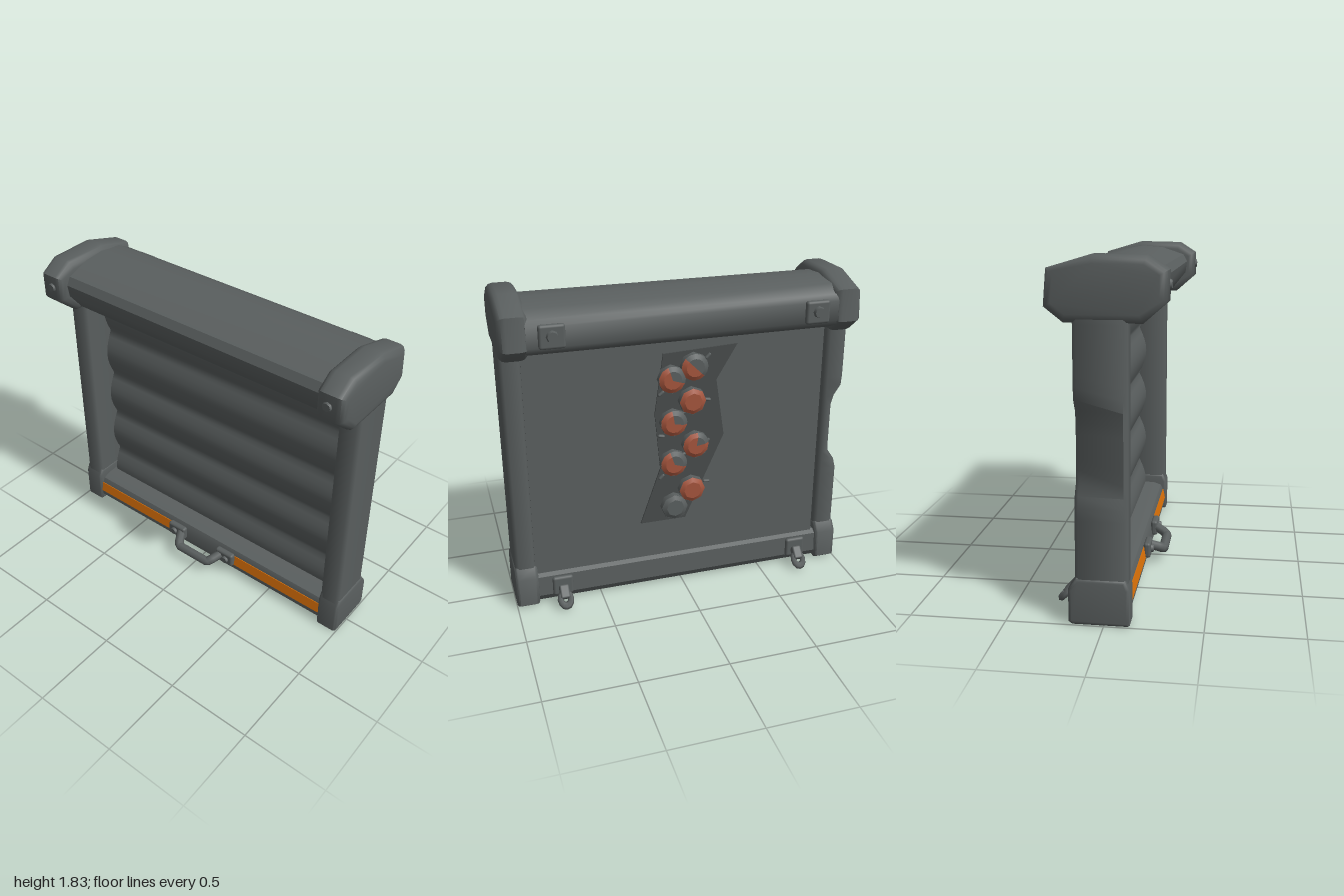
import * as THREE from 'three';
import { toCreasedNormals } from 'three/addons/utils/BufferGeometryUtils.js';
import { RoundedBoxGeometry } from 'three/addons/geometries/RoundedBoxGeometry.js';

const mat = (name, color, side = THREE.FrontSide) => {
  const m = new THREE.MeshStandardMaterial({ color, side });
  m.name = name;
  return m;
};

export function createModel() {
  const root = new THREE.Group();
  const grey = mat('grey metal', 0x5a5f5f);
  const dark = mat('dark plate', 0x484c4c, THREE.DoubleSide);
  const orange = mat('orange paint', 0xdd7208, THREE.DoubleSide);
  const rust = mat('rust red', 0xa5553d, THREE.DoubleSide);

  const add = (name, geo, m, x = 0, y = 0, z = 0, parent = root) => {
    const mesh = new THREE.Mesh(geo, m);
    mesh.name = name;
    mesh.position.set(x, y, z);
    parent.add(mesh);
    return mesh;
  };
  const box = (w, h, d, r = 0.015) => new RoundedBoxGeometry(w, h, d, 2, r);

  // Prism along x from a [z, y] outline, with optional rounded ends
  const prism = (pts, x0, x1, bevel = 0, crease = 0.6) => {
    const shape = new THREE.Shape(pts.map(([z, y]) => new THREE.Vector2(-z, y)));
    const geo = new THREE.ExtrudeGeometry(shape, {
      depth: x1 - x0 - 2 * bevel, bevelEnabled: bevel > 0,
      bevelThickness: bevel, bevelSize: bevel, bevelOffset: -bevel, bevelSegments: 3,
    });
    geo.rotateY(Math.PI / 2).translate(x0 + bevel, 0, 0);
    return toCreasedNormals(geo, crease);
  };

  // Upright post with chamfered corners; dent pushes in the rear outer edge halfway up
  const post = (dent) => {
    const w = 0.061, d = 0.1325, c = 0.02;
    const shape = new THREE.Shape([[w - c, -d], [w, c - d], [w, d - c], [w - c, d],
      [c - w, d], [-w, d - c], [-w, c - d], [c - w, -d]].map((p) => new THREE.Vector2(...p)));
    const geo = new THREE.ExtrudeGeometry(shape, { depth: 1.44, steps: 24, bevelEnabled: false });
    geo.rotateX(-Math.PI / 2).translate(0, 0.13, 0);
    const p = geo.attributes.position;
    for (let i = 0; i < p.count; i++) {
      if (p.getX(i) < -0.03 && p.getZ(i) < -0.1) {
        const near = 1 - THREE.MathUtils.smoothstep(Math.abs(p.getY(i) - 0.9), 0.15, 0.27);
        p.setX(i, p.getX(i) + dent * near);
      }
    }
    return toCreasedNormals(geo, 0.9);
  };

  // Posts, feet and the eight-sided end caps of the housing
  const capOutline = [[0.31, 1.62], [0.31, 1.765], [0.21, 1.83], [-0.05, 1.835],
    [-0.27, 1.77], [-0.285, 1.59], [-0.19, 1.515], [0.19, 1.515]];
  const footOutline = [[0.13, 0.01], [0.13, 0.2], [0.11, 0.25], [-0.14, 0.25],
    [-0.18, 0.19], [-0.18, 0.02], [-0.16, 0.005], [0.12, 0.005]];
  for (const s of [-1, 1]) {
    const side = s > 0 ? 'left' : 'right';
    const span = (a, b) => (s > 0 ? [a, b] : [-b, -a]);
    add(side + 'Post', post(s < 0 ? 0.06 : 0), grey, s * 0.932, 0, -0.012);
    add(side + 'Foot', prism(footOutline, ...span(0.868, 1), 0.018, 0.9), grey);
    add(side + 'HousingCap', prism(capOutline, ...span(0.84, 1), 0.042, 0.9), grey);
    const bolt = add(side + 'CapBolt', new THREE.CylinderGeometry(0.022, 0.036, 0.025, 8), grey, s * 0.91, 1.695, 0.308);
    bolt.rotation.x = Math.PI / 2;
  }

  // Roller housing between the caps
  add('rollerHousing', prism([[0.17, 1.54], [0.25, 1.64], [0.26, 1.71], [0.235, 1.755],
    [0.1, 1.8], [-0.03, 1.81], [-0.18, 1.785], [-0.255, 1.745], [-0.275, 1.71],
    [-0.275, 1.6], [-0.255, 1.57], [-0.19, 1.54]], -0.86, 0.86), grey);

  // Ribbed shutter curtain: five convex slats with soft joints and a flat back
  const curtain = [[-0.137, 0.15]];
  const joints = [0.06, 0.36, 0.66, 0.96, 1.27, 1.58];
  for (let i = 0; i < 5; i++) {
    for (let k = 0; k < 8; k++) {
      const t = k / 8;
      const y = joints[i] + (joints[i + 1] - joints[i]) * t;
      if (y > 0.15) curtain.push([-0.055 + 0.045 * Math.sin(Math.PI * t), y]);
    }
  }
  curtain.push([-0.055, 1.58], [-0.137, 1.58]);
  add('shutterCurtain', prism(curtain, -0.85, 0.88, 0, 1.2), grey);

  // Bottom rail with its orange strips on the slightly tilted front
  add('bottomRail', prism([[0.09, 0.02], [0.12, 0.05], [0.12, 0.08], [0.108, 0.15], [0.095, 0.175],
    [0.05, 0.19], [-0.13, 0.2], [-0.16, 0.18], [-0.165, 0.06], [-0.14, 0.02]], -0.88, 0.88), grey);
  for (const s of [-1, 1]) {
    const strip = add('orangeStrip', new THREE.BoxGeometry(0.64, 0.064, 0.006), orange, s * 0.55, 0.112, 0.116);
    strip.rotation.x = -0.17;
  }

  // Lifting handle, hanging outwards and down
  const handle = new THREE.Group();
  handle.name = 'handle';
  root.add(handle);
  for (const s of [-1, 1]) {
    add('handlePlate', box(0.13, 0.09, 0.04), grey, s * 0.19, 0.122, 0.13, handle);
    const b = add('handleBolt', new THREE.CylinderGeometry(0.02, 0.026, 0.02, 8), grey, s * 0.205, 0.122, 0.155, handle);
    b.rotation.x = Math.PI / 2;
  }
  const grip = new THREE.CurvePath();
  const gripPts = [[-0.16, 0.13, 0.13], [-0.13, 0.105, 0.19], [-0.11, 0.09, 0.212],
    [0.11, 0.09, 0.212], [0.13, 0.105, 0.19], [0.16, 0.13, 0.13]].map((p) => new THREE.Vector3(...p));
  for (let i = 0; i < 5; i++) grip.add(new THREE.LineCurve3(gripPts[i], gripPts[i + 1]));
  add('handleGrip', new THREE.TubeGeometry(grip, 36, 0.028, 8), grey, 0, 0, 0, handle);

  // Rear fittings: bolted plates above, plates with hanging links below
  for (const s of [-1, 1]) {
    const x = s * 0.73;
    add('upperBackPlate', box(0.14, 0.13, 0.035), grey, x, 1.66, -0.28);
    const b = add('upperBackBolt', new THREE.CylinderGeometry(0.035, 0.028, 0.03, 8), grey, x, 1.665, -0.303);
    b.rotation.x = Math.PI / 2;
    add('lowerBackPlate', box(0.12, 0.12, 0.03), grey, x, 0.115, -0.17);
    const lug = add('linkLug', box(0.055, 0.08, 0.05, 0.01), grey, x, 0.09, -0.21);
    lug.rotation.x = 0.75;
    const link = add('hangingLink', new THREE.TorusGeometry(0.03, 0.018, 6, 12), grey, x, 0.06, -0.24);
    link.scale.y = 1.3;
    link.rotation.x = 0.75;
  }

  // Dark backing patch on the rear of the curtain
  const outline = [[0.11, 1.46], [-0.32, 1.48], [-0.2, 1.28], [-0.25, 0.94],
    [-0.02, 0.43], [0.25, 0.43], [0.13, 0.77], [0.16, 1.11]];
  const patch = new THREE.Shape(outline.map((p) => new THREE.Vector2(...p)));
  add('backPatch', new THREE.ExtrudeGeometry(patch, { depth: 0.008, bevelEnabled: false }), dark, 0, 0, -0.149);

  // Two staggered columns of thick discs; the third value is the rusted share of the face
  const discs = [[0.07, 1.32, 0.65], [-0.06, 1.38, 0.5], [-0.05, 1.18, 1], [0.06, 1.06, 0.7],
    [-0.07, 0.91, 0.8], [0.06, 0.81, 0.65], [-0.05, 0.63, 1], [0.055, 0.53, 0]];
  for (const [x, y, share] of discs) {
    const rim = add('discRim', new THREE.CylinderGeometry(0.078, 0.078, 0.038, 8), grey, x, y, -0.171);
    rim.rotation.x = Math.PI / 2;
    for (const [m, from, part] of [[rust, 0, share], [grey, share, 1 - share]]) {
      if (part === 0) continue;
      const turn = Math.PI * 2;
      const face = new THREE.CylinderGeometry(0.052, 0.077, 0.014, 8, 1, false, from * turn, part * turn);
      // Turn the grey share towards the upper outer edge
      face.rotateY(Math.PI * (0.75 - share)).rotateX(-Math.PI / 2);
      add('discFace', face, m, x, y, -0.197);
    }
  }

  // Small pegs scattered round the discs
  for (let i = 0; i < 14; i++) {
    const peg = add('peg', new THREE.CapsuleGeometry(0.01, 0.024, 2, 6), grey,
      [0.0, -0.14, 0.13, 0.01][i % 4], 0.6 + i * 0.064, -0.172);
    peg.rotation.z = 1.3 + 0.5 * Math.sin(i * 2.3);
  }
  return root;
}
